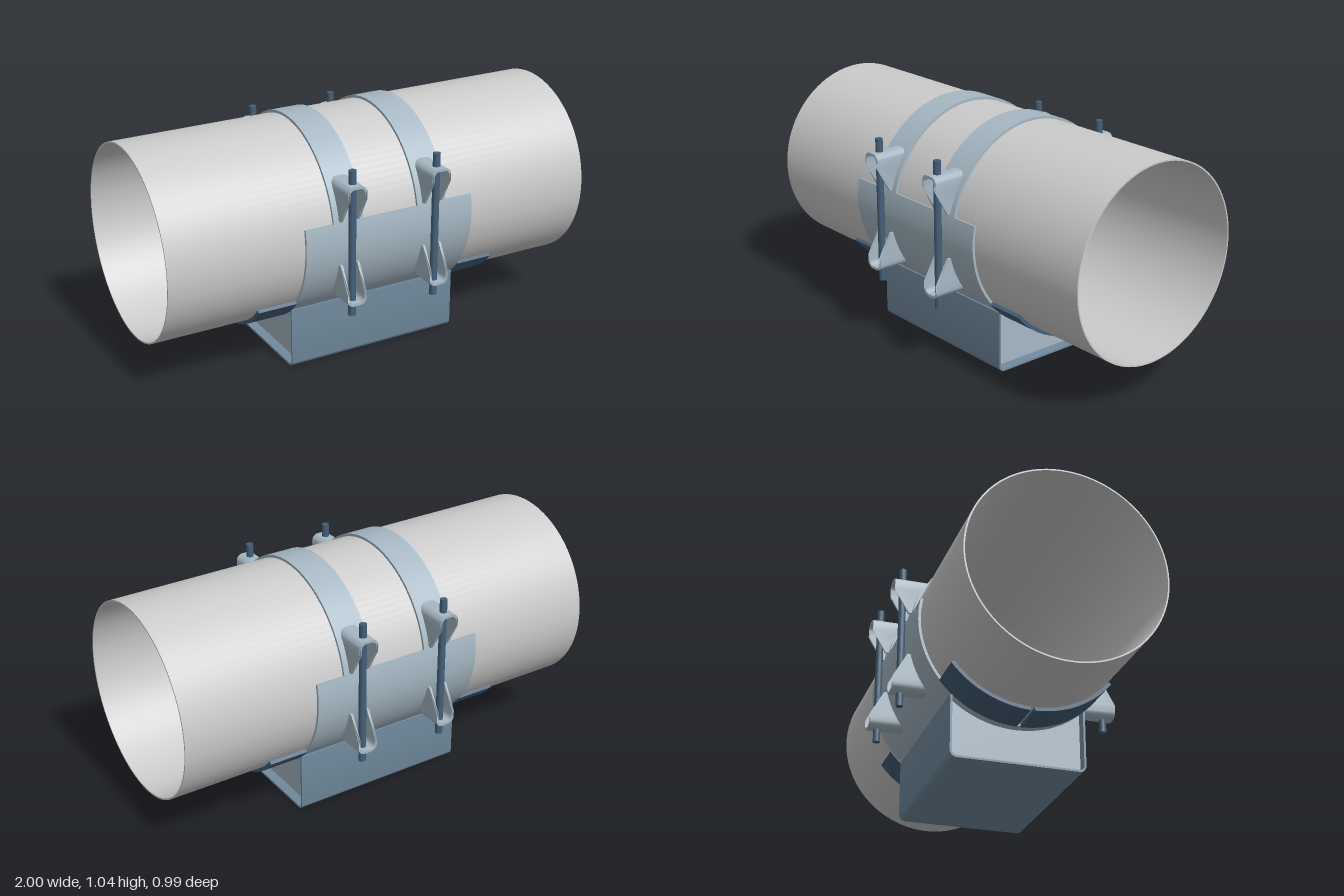
import * as THREE from 'three';
import { toCreasedNormals } from 'three/addons/utils/BufferGeometryUtils.js';

const AXIS_Y = 0.603; // height of the pipe axis
const PIPE_R = 0.4225;
const CLAMP_R = 0.434; // outside of straps and saddle

const material = (color) => new THREE.MeshStandardMaterial({ color, side: THREE.DoubleSide });
const pipeGrey = material(0xcccccc);
const paleSteel = material(0xa6b8c4);
const blueSteel = material(0x728c9f);
const darkSteel = material(0x445f78);

function addMesh(parent, name, geometry, mat) {
  const mesh = new THREE.Mesh(toCreasedNormals(geometry, 0.5), mat);
  mesh.name = name;
  parent.add(mesh);
  return mesh;
}

// Extrude a (z, y) outline along x, centred on the given x
function alongX(shape, length, x = 0) {
  const g = new THREE.ExtrudeGeometry(shape, { depth: length, bevelEnabled: false, curveSegments: 48 });
  return g.translate(0, 0, -length / 2).rotateY(-Math.PI / 2).translate(x, 0, 0);
}

// Curved sheet outline between two angles in degrees
function arcSheet(inner, outer, from, to) {
  const a = THREE.MathUtils.degToRad(from), b = THREE.MathUtils.degToRad(to);
  const s = new THREE.Shape();
  s.absarc(0, AXIS_Y, outer, a, b, false);
  s.absarc(0, AXIS_Y, inner, b, a, true);
  s.closePath();
  return s;
}

// Folded lug: a U section run outwards, its cheeks tapered and cut to the pipe
function lugGeometry() {
  const outline = (w, top, r, reverse) => {
    const pts = [0.097, 0.125, 0.155, 0.18, 0.207].map((y) => [-w, y]);
    for (let i = 0; i <= 5; i++) {
      const a = (i / 5) * Math.PI / 2;
      pts.push([-w + r - r * Math.cos(a), top - r + r * Math.sin(a)]);
    }
    const all = [...pts, ...pts.slice().reverse().map(([x, y]) => [-x, y])];
    return reverse ? all.reverse() : all;
  };
  const pts = [...outline(0.045, 0.265, 0.03, false), ...outline(0.034, 0.254, 0.019, true)];
  const shape = new THREE.Shape(pts.map(([x, y]) => new THREE.Vector2(x, y)));
  const g = new THREE.ExtrudeGeometry(shape, { depth: 1, bevelEnabled: false });
  const p = g.attributes.position;
  for (let i = 0; i < p.count; i++) {
    const y = p.getY(i);
    const inner = Math.sqrt(CLAMP_R ** 2 - y * y) - 0.002;
    const outer = THREE.MathUtils.clamp(THREE.MathUtils.mapLinear(y, 0.097, 0.207, 0.436, 0.497), 0.436, 0.497);
    p.setZ(i, THREE.MathUtils.lerp(inner, outer, p.getZ(i)));
  }
  g.computeVertexNormals();
  return g;
}

export function createModel() {
  const model = new THREE.Group();
  model.name = 'pipeSupport';

  // Pipe
  const ring = new THREE.Shape().absarc(0, AXIS_Y, PIPE_R, 0, Math.PI * 2);
  ring.holes.push(new THREE.Path().absarc(0, AXIS_Y, 0.416, 0, Math.PI * 2));
  addMesh(model, 'pipe', alongX(ring, 2), pipeGrey);

  // Saddle under the pipe
  addMesh(model, 'saddle', alongX(arcSheet(PIPE_R, CLAMP_R, 168.2, 371.8), 0.8), paleSteel);

  // Liner pads showing at both ends of the saddle, split along the bottom
  for (const x of [-0.4875, 0.4875]) {
    for (const [from, to] of [[219, 268.9], [271.1, 321]]) {
      addMesh(model, 'linerPad', alongX(arcSheet(PIPE_R, 0.438, from, to), 0.175, x), darkSteel);
    }
  }

  // Base channel with rounded bottom corners
  const channel = new THREE.Shape();
  channel.moveTo(-0.292, 0.275);
  channel.lineTo(-0.292, 0.03);
  channel.absarc(-0.262, 0.03, 0.03, Math.PI, Math.PI * 1.5, false);
  channel.absarc(0.262, 0.03, 0.03, Math.PI * 1.5, Math.PI * 2, false);
  channel.lineTo(0.292, 0.275);
  channel.lineTo(0.283, 0.275);
  channel.lineTo(0.283, 0.03);
  channel.absarc(0.262, 0.03, 0.021, 0, -Math.PI / 2, true);
  channel.absarc(-0.262, 0.03, 0.021, -Math.PI / 2, -Math.PI, true);
  channel.lineTo(-0.283, 0.275);
  channel.closePath();
  addMesh(model, 'baseChannel', alongX(channel, 0.8), blueSteel);

  // Web plates inside the channel, hollowed to fit the saddle
  const half = Math.acos(0.283 / CLAMP_R);
  const web = new THREE.Shape();
  web.moveTo(-0.283, 0.03);
  web.lineTo(-0.262, 0.009);
  web.lineTo(0.262, 0.009);
  web.lineTo(0.283, 0.03);
  web.absarc(0, AXIS_Y, CLAMP_R, -half, -Math.PI + half, true);
  web.closePath();
  for (const x of [-0.35, 0.35]) addMesh(model, 'webPlate', alongX(web, 0.012, x), paleSteel);

  // Two clamps: strap over the top, lugs and tie rods on both sides
  const lug = lugGeometry();
  for (const x of [-0.2, 0.2]) {
    const clamp = new THREE.Group();
    clamp.name = 'clamp';
    clamp.position.x = x;
    model.add(clamp);
    addMesh(clamp, 'strap', alongX(arcSheet(PIPE_R, CLAMP_R, 11.8, 168.2), 0.14), paleSteel);
    for (const turn of [0, Math.PI]) {
      const side = new THREE.Group();
      side.name = 'clampSide';
      side.position.y = AXIS_Y;
      side.rotation.y = turn;
      clamp.add(side);
      addMesh(side, 'upperLug', lug, paleSteel);
      addMesh(side, 'lowerLug', lug, paleSteel).rotation.z = Math.PI;
      const rod = new THREE.CylinderGeometry(0.016, 0.016, 0.647, 24);
      addMesh(side, 'tieRod', rod, darkSteel).position.z = 0.454;
    }
  }
  return model;
}
